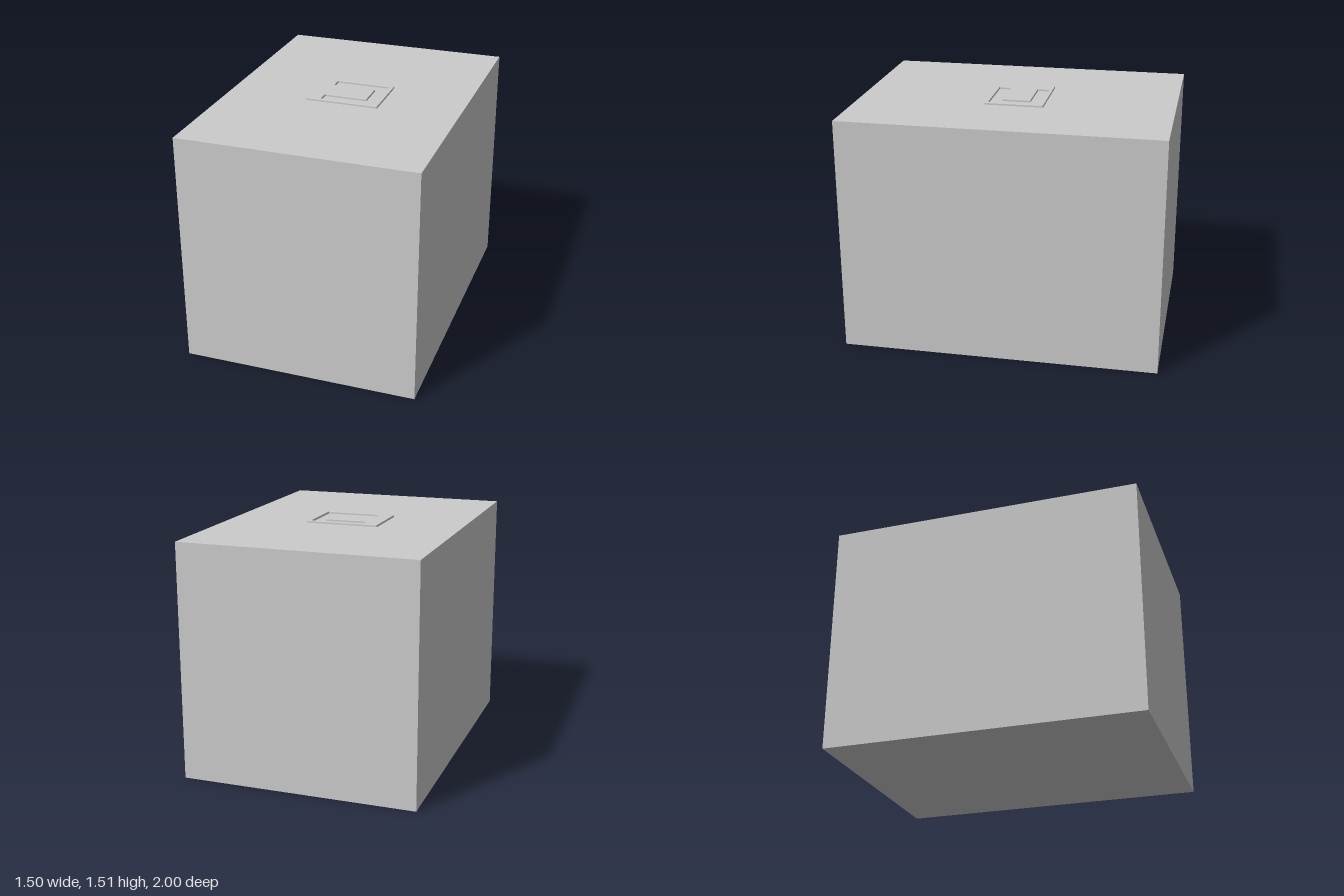
import * as THREE from 'three';

export function createModel() {
  const group = new THREE.Group();
  const material = new THREE.MeshStandardMaterial({ color: 0xcccccc, flatShading: true });
  const add = (name, geometry, y) => {
    const mesh = new THREE.Mesh(geometry, material);
    mesh.name = name;
    mesh.position.y = y;
    group.add(mesh);
  };

  // Main block
  add('body', new THREE.BoxGeometry(1.496, 1.5, 2), 0.75);

  // Thin plate outline with slightly rounded corners
  const w = 0.236, d = 0.188, r = 0.01;
  const plate = new THREE.Shape();
  plate.absarc(w - r, d - r, r, 0, Math.PI / 2);
  plate.absarc(-w + r, d - r, r, Math.PI / 2, Math.PI);
  plate.absarc(-w + r, -d + r, r, Math.PI, Math.PI * 1.5);
  plate.absarc(w - r, -d + r, r, Math.PI * 1.5, Math.PI * 2);
  plate.closePath();

  // U-shaped channel cut through the plate, open towards -x
  const channel = [
    [-0.138, -0.164], [-0.138, -0.09], [0.136, -0.09], [0.136, 0.09],
    [-0.138, 0.09], [-0.138, 0.164], [0.211, 0.164], [0.211, -0.164],
  ].map(([x, y]) => new THREE.Vector2(x, y));
  plate.holes.push(new THREE.Path(channel));

  // Softly bevelled plate, its lower bevel sunk into the block
  const bevel = 0.003;
  const plateGeometry = new THREE.ExtrudeGeometry(plate, {
    depth: 0.012, curveSegments: 4, bevelEnabled: true, bevelSegments: 2,
    bevelSize: bevel, bevelThickness: bevel, bevelOffset: -bevel,
  });
  plateGeometry.rotateX(-Math.PI / 2);
  add('topPlate', plateGeometry, 1.498);

  return group;
}
